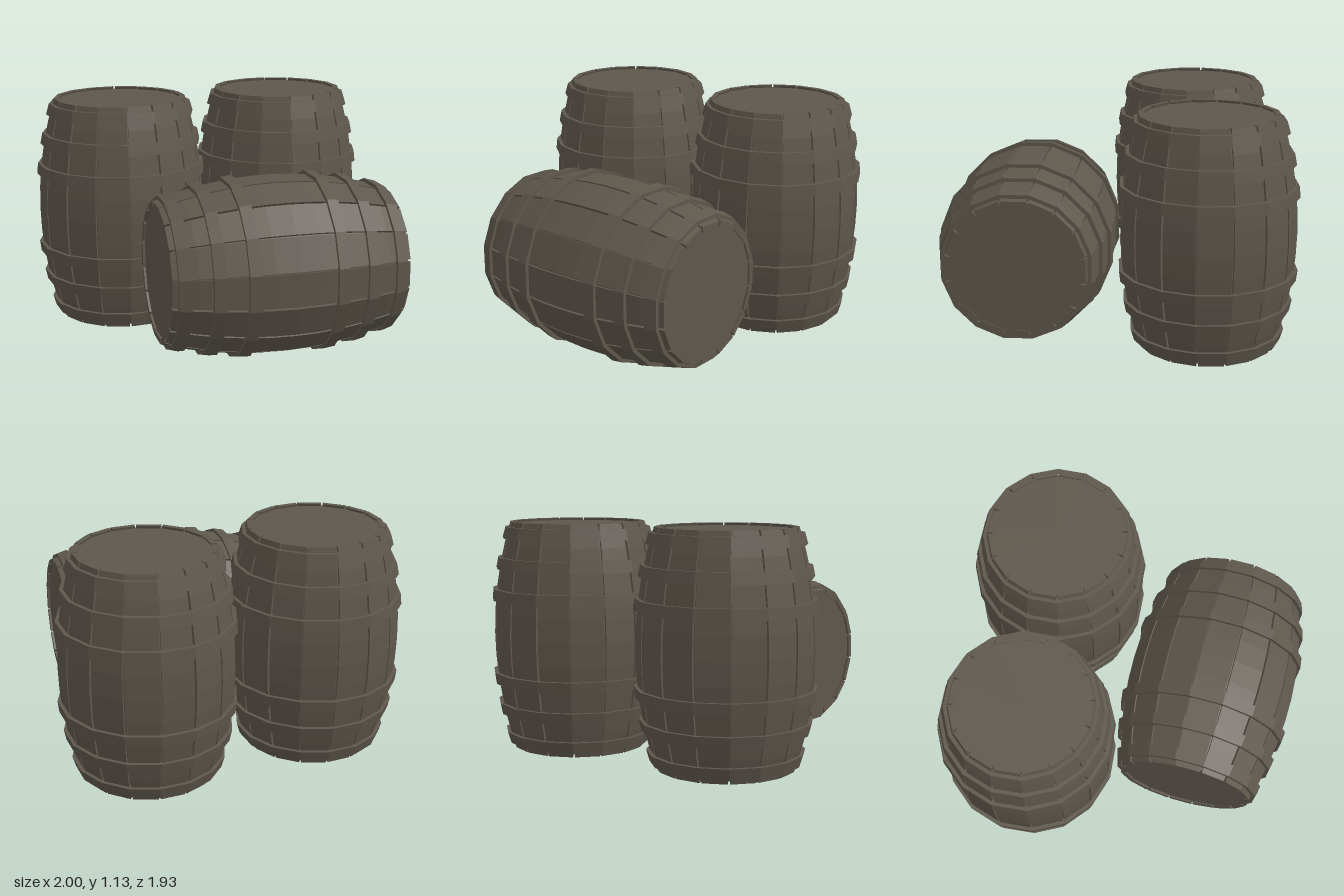
import * as THREE from 'three';

const H = 1.13, SIDES = 16, STEP = (Math.PI * 2) / SIDES;

// Bulging barrel radius at height y
const radiusAt = (y) => {
  const t = (y - H / 2) / (H / 2);
  return 0.335 + 0.09 * (1 - t * t);
};

function lathe(points) {
  return new THREE.LatheGeometry(points.map(([r, y]) => new THREE.Vector2(r, y)), SIDES, STEP / 2);
}

// One stave: a box bent along the bulge, with a narrow gap on each side
function staveGeometry() {
  const geo = new THREE.BoxGeometry(1, H, 1, 1, 10, 1);
  const p = geo.attributes.position;
  for (let i = 0; i < p.count; i++) {
    const y = p.getY(i) + H / 2;
    const outer = radiusAt(y);
    const r = p.getZ(i) > 0 ? outer : outer - 0.027;
    const a = Math.sign(p.getX(i)) * (STEP / 2 - 0.005 / outer);
    p.setXYZ(i, r * Math.sin(a), y, r * Math.cos(a));
  }
  geo.computeVertexNormals();
  return geo;
}

// Solid inside with a lid slightly below the rim at both ends
function coreGeometry() {
  const inset = 0.012, pts = [[0, inset]];
  for (let i = 0; i <= 10; i++) {
    const y = inset + ((H - 2 * inset) * i) / 10;
    pts.push([radiusAt(y) - 0.016, y]);
  }
  pts.push([0, H - inset]);
  return lathe(pts);
}

// Iron band following the slope of the staves
function hoopGeometry(y0, y1) {
  const a = radiusAt(y0), b = radiusAt(y1), t = 0.018;
  return lathe([[a - 0.01, y0], [a + t, y0], [b + t, y1], [b - 0.01, y1]]);
}

export function createModel() {
  const model = new THREE.Group();
  model.name = 'barrels';
  const wood = new THREE.MeshStandardMaterial({ color: 0x5e574c, flatShading: true });
  wood.name = 'weathered wood';

  const stave = staveGeometry(), core = coreGeometry();
  const hoops = [];
  for (const [y0, y1] of [[0.025, 0.08], [0.175, 0.23], [0.33, 0.385]]) {
    hoops.push(hoopGeometry(y0, y1), hoopGeometry(H - y1, H - y0));
  }

  function barrel(name) {
    const g = new THREE.Group();
    g.name = name;
    const add = (geo, part) => {
      const m = new THREE.Mesh(geo, wood);
      m.name = part;
      m.position.y = -H / 2;
      g.add(m);
      return m;
    };
    add(core, 'lidsAndCore');
    for (let i = 0; i < SIDES; i++) add(stave, 'stave').rotation.y = i * STEP;
    hoops.forEach((h) => add(h, 'hoop'));
    model.add(g);
    return g;
  }

  // Two upright barrels
  const left = barrel('uprightBarrelFront');
  left.position.set(-0.568, H / 2, 0);
  left.rotation.y = -0.12;
  const back = barrel('uprightBarrelBack');
  back.position.set(0.123, H / 2, -0.535);
  back.rotation.y = -0.14;

  // Barrel lying on its side
  const lying = barrel('lyingBarrel');
  lying.position.set(0.343, 0.432, 0.378);
  lying.rotation.set(0, 0.562, -Math.PI / 2, 'YXZ');

  return model;
}
